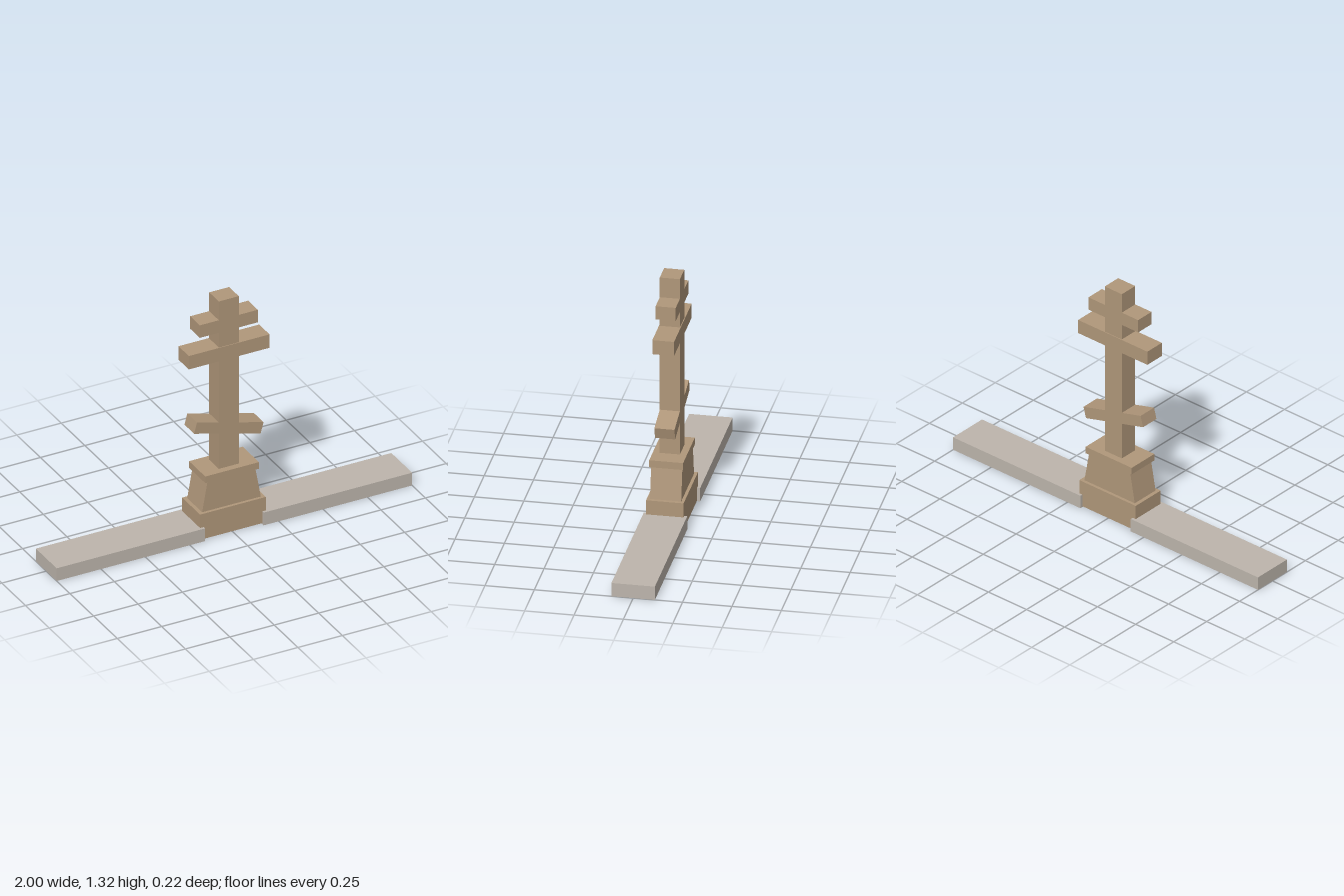
import * as THREE from 'three';

export function createModel() {
  const model = new THREE.Group();
  model.name = 'crossMonument';

  const tan = new THREE.MeshStandardMaterial({ name: 'tanStone', color: 0xb0977a });
  const grey = new THREE.MeshStandardMaterial({ name: 'greyStone', color: 0xbdb5ac });

  // Box centred on x and z, given its bottom and top heights
  function block(name, width, bottom, top, depth, material = tan, x = 0) {
    const mesh = new THREE.Mesh(new THREE.BoxGeometry(width, top - bottom, depth), material);
    mesh.name = name;
    mesh.position.set(x, (bottom + top) / 2, 0);
    model.add(mesh);
    return mesh;
  }

  // Low slabs either side, tucked slightly into the plinth
  for (const side of [-1, 1]) {
    block(side > 0 ? 'leftSlab' : 'rightSlab', 0.835, 0, 0.073, 0.22, grey, side * 0.5825);
  }

  // Pedestal: plinth, body tapering in width only, cap
  block('plinth', 0.37, 0.005, 0.15, 0.19);
  const taper = new THREE.Shape([
    new THREE.Vector2(-0.165, 0.15),
    new THREE.Vector2(0.165, 0.15),
    new THREE.Vector2(0.135, 0.317),
    new THREE.Vector2(-0.135, 0.317),
  ]);
  const bodyGeometry = new THREE.ExtrudeGeometry(taper, { depth: 0.158, bevelEnabled: false });
  bodyGeometry.translate(0, 0, -0.079);
  const body = new THREE.Mesh(bodyGeometry, tan);
  body.name = 'pedestalBody';
  model.add(body);
  block('pedestalCap', 0.302, 0.317, 0.355, 0.172);

  // Cross: shaft, two level bars and a slanted lower bar
  block('shaft', 0.112, 0.355, 1.318, 0.102);
  block('topBar', 0.326, 1.138, 1.21, 0.102);
  block('mainBar', 0.454, 0.976, 1.053, 0.11);
  const lowerBar = block('slantedBar', 0.388, 0.544, 0.606, 0.102);
  lowerBar.rotation.z = -Math.PI / 12;

  return model;
}
